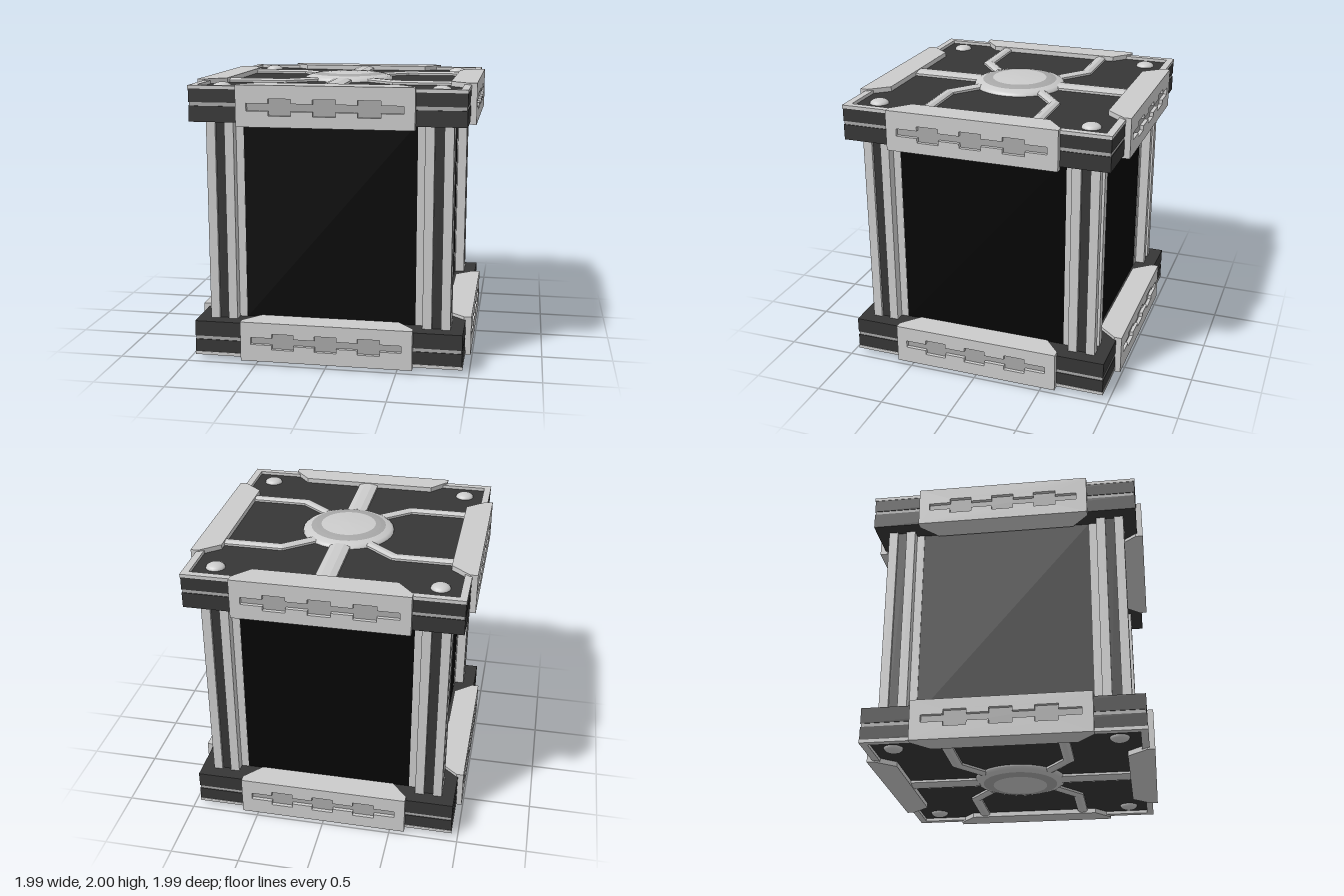
import * as THREE from 'three';

const material = (color) => new THREE.MeshStandardMaterial({ color, flatShading: true });
const light = material(0xcccccc);
const steel = material(0xbcbcbc);
const groove = material(0xa8a8a8);
const dark = material(0x363636);
const black = material(0x050505);
const smooth = new THREE.MeshStandardMaterial({ color: 0xcccccc });

function add(parent, name, geometry, mat, x = 0, y = 0, z = 0) {
  const mesh = new THREE.Mesh(geometry, mat);
  mesh.name = name;
  mesh.position.set(x, y, z);
  parent.add(mesh);
  return mesh;
}

// Box given by its min and max corners
function block(parent, name, mat, [x0, y0, z0], [x1, y1, z1]) {
  return add(parent, name, new THREE.BoxGeometry(x1 - x0, y1 - y0, z1 - z0), mat,
    (x0 + x1) / 2, (y0 + y1) / 2, (z0 + z1) / 2);
}

const polygon = (points) => points.map(([x, y]) => new THREE.Vector2(x, y));
const extrude = (shape, depth) => new THREE.ExtrudeGeometry(shape, { depth, bevelEnabled: false });

// Bevelled strip following a flat path of [x, z] points, mitred at the bends
function ridge(path, half, height) {
  const section = [[-1, 0], [-1, 0.55], [-0.4, 1], [0.4, 1], [1, 0.55], [1, 0]];
  const pts = polygon(path);
  const rings = pts.map((p, i) => {
    const a = p.clone().sub(pts[Math.max(i - 1, 0)]).normalize();
    const b = pts[Math.min(i + 1, pts.length - 1)].clone().sub(p).normalize();
    const t = a.clone().add(b).normalize();
    const stretch = 1 / t.dot(i ? a : b);
    return section.map(([u, v]) => [p.x - t.y * u * half * stretch, v * height, p.y + t.x * u * half * stretch]);
  });
  const pos = [];
  for (let i = 0; i < rings.length - 1; i++) {
    for (let j = 0; j < section.length - 1; j++) {
      const [a, b, c, d] = [rings[i][j], rings[i][j + 1], rings[i + 1][j + 1], rings[i + 1][j]];
      pos.push(...a, ...b, ...c, ...a, ...c, ...d);
    }
  }
  // end caps
  const [first, last] = [rings[0], rings[rings.length - 1]];
  for (let j = 1; j < section.length - 1; j++) {
    pos.push(...first[0], ...first[j + 1], ...first[j], ...last[0], ...last[j], ...last[j + 1]);
  }
  const geometry = new THREE.BufferGeometry();
  geometry.setAttribute('position', new THREE.Float32BufferAttribute(pos, 3));
  geometry.computeVertexNormals();
  return geometry;
}

// Edge bracket with a notched groove in its face, heights relative to the box centre
function bracket() {
  const group = new THREE.Group();
  group.name = 'edgeBracket';
  const low = 0.692, high = 0.977, mid = 0.828;
  const plan = new THREE.Shape(polygon([
    [-0.61, -0.964], [0.61, -0.964], [0.61, -0.94], [0.495, -0.806], [-0.495, -0.806], [-0.61, -0.94]]));
  add(group, 'bracketBody', extrude(plan, high - low).rotateX(-Math.PI / 2), steel, 0, low, 0);
  block(group, 'grooveFloor', groove, [-0.55, mid - 0.07, 0.95], [0.55, mid + 0.07, 0.967]);

  const face = new THREE.Shape(polygon([[-0.61, low], [0.61, low], [0.61, high], [-0.61, high]]));
  const upper = [[-0.535, 0.026]];
  for (const x of [-0.305, 0, 0.305]) {
    upper.push([x - 0.078, 0.026], [x - 0.078, 0.058], [x + 0.078, 0.058], [x + 0.078, 0.026]);
  }
  upper.push([0.535, 0.026]);
  const lower = upper.map(([x, y]) => [x, -y]).reverse();
  face.holes.push(new THREE.Path(polygon([...upper, ...lower].map(([x, y]) => [x, y + mid]))));
  add(group, 'bracketFace', extrude(face, 0.029), steel, 0, 0, 0.964);
  return group;
}

// Corner pillar: three light posts with dark grooves between them
function pillar() {
  const group = new THREE.Group();
  group.name = 'cornerPillar';
  const h = 0.72;
  const post = (name, mat, x0, z0, x1, z1) => block(group, name, mat, [x0, -h, z0], [x1, h, z1]);
  post('pillarCore', light, 0.61, 0.61, 0.79, 0.79);
  post('cornerPost', light, 0.795, 0.795, 0.86, 0.86);
  post('frontPost', light, 0.665, 0.7, 0.73, 0.86);
  post('sidePost', light, 0.7, 0.665, 0.86, 0.73);
  post('grooveCore', dark, 0.73, 0.73, 0.84, 0.795);
  post('grooveCore', dark, 0.73, 0.73, 0.795, 0.84);
  return group;
}

// One end cap, heights relative to the box centre
function cap() {
  const group = new THREE.Group();
  const floor = 0.942;
  const slab = (name, mat, r, y0, y1) => block(group, name, mat, [-r, y0, -r], [r, y1, r]);
  slab('lowerPlate', dark, 0.952, 0.715, 0.825);
  slab('stripe', groove, 0.947, 0.825, 0.85);
  slab('upperPlate', dark, 0.952, 0.85, floor);

  // raised rim
  const square = (r) => polygon([[-r, -r], [r, -r], [r, r], [-r, r]]);
  const rim = new THREE.Shape(square(0.955));
  rim.holes.push(new THREE.Path(square(0.905)));
  add(group, 'rim', extrude(rim, 0.023).rotateX(-Math.PI / 2), steel, 0, floor, 0);

  for (let i = 0; i < 4; i++) {
    const b = bracket();
    b.rotation.y = i * Math.PI / 2;
    group.add(b);
  }

  // round boss: bevelled edge, darker ring and a shallow crown
  const turned = (name, points, mat) => add(group, name, new THREE.LatheGeometry(polygon(points), 32), mat);
  turned('bossEdge', [[0.33, floor], [0.328, 0.955], [0.31, 0.968], [0.27, 0.98]], smooth);
  turned('bossRing', [[0.27, 0.98], [0.235, 0.987], [0.197, 0.991]], groove);
  turned('bossCrown', [[0.197, 0.991], [0.1, 0.998], [0, 1]], smooth);

  // ribs, bent arms and corner studs
  for (const sz of [-1, 1]) {
    add(group, 'centreRib', ridge([[0, sz * 0.3], [0, sz * 0.83]], 0.072, 0.03), steel, 0, floor, 0);
    for (const sx of [-1, 1]) {
      const path = [[0.2, 0.235], [0.4, 0.395], [0.83, 0.395]].map(([x, z]) => [sx * x, sz * z]);
      add(group, 'bentArm', ridge(path, 0.038, 0.028), steel, 0, floor, 0);
      const stud = add(group, 'cornerStud',
        new THREE.SphereGeometry(0.067, 20, 6, 0, Math.PI * 2, 0, Math.PI / 2), smooth,
        sx * 0.765, floor, sz * 0.765);
      stud.scale.y = 0.5;
    }
  }
  return group;
}

export function createModel() {
  const model = new THREE.Group();
  model.name = 'container';
  const body = new THREE.Group();
  body.name = 'body';
  body.position.y = 1;
  model.add(body);

  // dark panels between the pillars: two crossed blocks
  block(body, 'frontBackPanel', black, [-0.61, -0.72, -0.785], [0.61, 0.72, 0.785]);
  block(body, 'sidePanel', black, [-0.785, -0.72, -0.61], [0.785, 0.72, 0.61]);

  for (let i = 0; i < 4; i++) {
    const p = pillar();
    p.rotation.y = i * Math.PI / 2;
    body.add(p);
  }

  const top = cap();
  top.name = 'topCap';
  const bottom = cap();
  bottom.name = 'bottomCap';
  bottom.rotation.x = Math.PI;
  body.add(top, bottom);
  return model;
}
